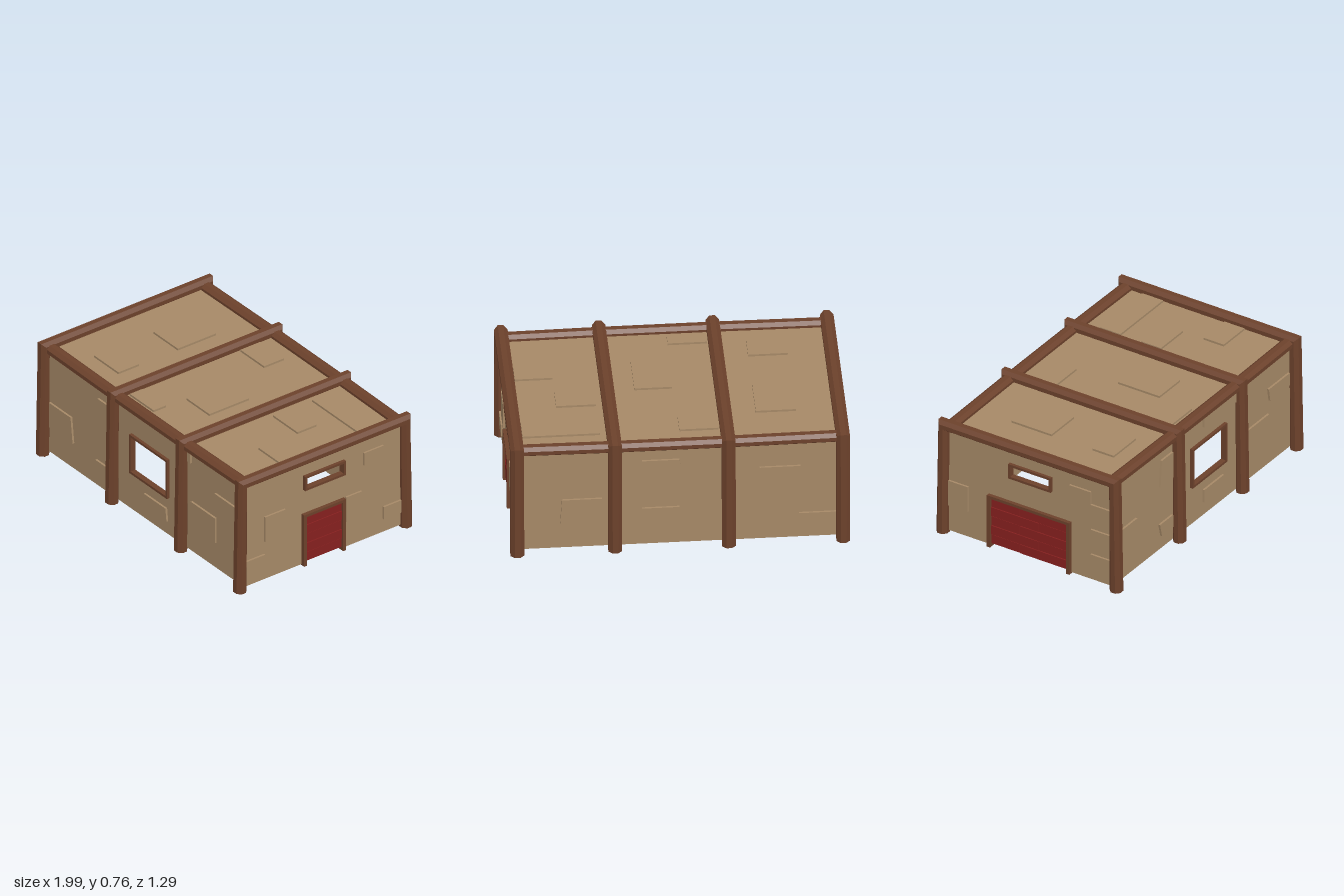
import * as THREE from 'three';

const mat = (name, color, side = THREE.FrontSide) =>
  Object.assign(new THREE.MeshStandardMaterial({ color, side }), { name });

export function createModel() {
  const root = new THREE.Group();
  root.name = 'timberHall';
  const clay = mat('clay', 0xa68967, THREE.DoubleSide);
  const wood = mat('timber', 0x6c412b);
  const red = mat('redDoor', 0x86201f);
  const HX = 0.955, HZ = 0.577, ROOF = 0.715, BASE = 0.015;

  const add = (parent, name, geo, material) => {
    const m = new THREE.Mesh(geo, material);
    m.name = name;
    parent.add(m);
    return m;
  };
  const box = (parent, name, material, x0, x1, y0, y1, z0, z1) =>
    add(parent, name, new THREE.BoxGeometry(x1 - x0, y1 - y0, z1 - z0), material)
      .position.set((x0 + x1) / 2, (y0 + y1) / 2, (z0 + z1) / 2);

  // Octagonal timber: rings of points joined along a path, with closed ends
  const R = 1 / Math.cos(Math.PI / 8);
  const octagon = (fn) => Array.from({ length: 8 }, (_, i) => {
    const a = (i + 0.5) * Math.PI / 4;
    return fn(R * Math.cos(a), R * Math.sin(a));
  });
  const loft = (rings) => {
    const pos = [];
    const tri = (...pts) => pts.forEach((p) => pos.push(...p));
    for (let k = 0; k < rings.length - 1; k++) {
      for (let i = 0; i < 8; i++) {
        const j = (i + 1) % 8, a = rings[k], b = rings[k + 1];
        tri(a[i], b[i], a[j]);
        tri(a[j], b[i], b[j]);
      }
    }
    const s = rings[0], e = rings[rings.length - 1];
    for (let i = 1; i < 7; i++) {
      tri(s[0], s[i], s[i + 1]);
      tri(e[0], e[i + 1], e[i]);
    }
    const g = new THREE.BufferGeometry();
    g.setAttribute('position', new THREE.Float32BufferAttribute(pos, 3));
    g.computeVertexNormals();
    return g;
  };

  // Four portal frames: leaning posts mitred into a cross beam
  const frames = [-0.958, -0.287, 0.38, 0.954];
  for (const x of frames) {
    const foot = (s) => octagon((c, d) => [x + c * 0.04, 0, s * (0.607 + d * 0.037)]);
    const knee = (s) => octagon((c, d) => [x + c * 0.04, 0.733 + d * 0.032, s * (0.598 + d * 0.032)]);
    add(root, 'portalFrame', loft([foot(1), knee(1), knee(-1), foot(-1)]), wood);
  }

  // Eaves beams along both long sides, bowed slightly outward
  for (const s of [1, -1]) {
    const rings = frames.map((x, i) => octagon((c, d) =>
      [x, 0.718 + d * 0.031, s * (i % 3 ? 0.573 : 0.566) + c * 0.039]));
    add(root, 'eavesBeam', loft(rings), wood);
  }

  // Raised stone: [x0, x1, y0, y1, skewLeft, skewRight]
  const stone = (parent, [x0, x1, y0, y1, sl = 0, sr = 0]) => {
    const shape = new THREE.Shape([
      [x0 - sl, y0], [x1 + sr, y0], [x1, y1], [x0, y1],
    ].map((p) => new THREE.Vector2(...p)));
    const g = new THREE.ExtrudeGeometry(shape, { depth: 0.022, bevelEnabled: false });
    add(parent, 'raisedStone', g.translate(0, 0, -0.009), clay);
  };

  // Wall in its own plane, facing local +z
  const wall = (name, half, dist, turn, { window, door, stones }) => {
    const g = new THREE.Group();
    g.name = name;
    const pts = [[-half, BASE]];
    if (door) pts.push([-door, BASE], [-door, 0.35], [door, 0.35], [door, BASE]);
    pts.push([half, BASE], [half, ROOF], [-half, ROOF]);
    const shape = new THREE.Shape(pts.map((p) => new THREE.Vector2(...p)));
    if (window) {
      const [x0, x1, y0, y1] = window, t = 0.015;
      shape.holes.push(new THREE.Path([
        [x0 + t, y0 + t], [x0 + t, y1 - t], [x1 - t, y1 - t], [x1 - t, y0 + t],
      ].map((p) => new THREE.Vector2(...p))));
      // Window surround
      for (const y of [y0, y1 - t]) box(g, 'windowRail', wood, x0, x1, y, y + t, -0.016, 0.02);
      for (const x of [x0, x1 - t]) box(g, 'windowJamb', wood, x, x + t, y0 + t, y1 - t, -0.016, 0.02);
    }
    add(g, 'wallPanel', new THREE.ShapeGeometry(shape), clay);
    stones.forEach((b) => stone(g, b));
    g.rotation.y = turn;
    g.position.set(Math.sin(turn) * dist, 0, Math.cos(turn) * dist);
    root.add(g);
    return g;
  };

  // Plank door in a timber surround
  const door = (parent, half, columns) => {
    const rows = 5, y0 = 0.03, h = 0.313 / rows, gap = 0.002;
    box(parent, 'doorCore', red, -half, half, y0, 0.343, -0.005, 0.005);
    for (let r = 0; r < rows; r++) {
      const split = columns > 1 ? (r % 2 ? 0.25 : -0.25) * half : half;
      const cuts = columns > 1 ? [-half, split, half] : [-half, half];
      for (let c = 0; c < cuts.length - 1; c++) {
        const d = 0.009 + ((r + c) % 2) * 0.003;
        box(parent, 'doorPlank', red, cuts[c] + gap, cuts[c + 1] - gap,
          y0 + r * h + gap, y0 + (r + 1) * h - gap, -d, d);
      }
    }
    for (const s of [-1, 1]) {
      const x = s * (half + 0.008);
      box(parent, 'doorJamb', wood, x - 0.011, x + 0.011, 0.008, 0.345, -0.018, 0.024);
    }
    box(parent, 'doorLintel', wood, -half - 0.019, half + 0.019, 0.342, 0.36, -0.018, 0.024);
  };

  wall('frontWall', HX, HZ, 0, {
    window: [-0.133, 0.233, 0.27, 0.535],
    stones: [
      [-0.45, -0.33, 0.445, 0.62, 0.015], [-0.92, -0.71, 0.19, 0.36, 0, 0.02],
      [-0.47, -0.33, 0.105, 0.19, -0.02], [0, 0.21, 0.105, 0.19, 0, 0.01],
      [0.455, 0.69, 0.19, 0.36], [0.685, 0.91, 0.445, 0.53, -0.015], [0, 0.45, 0.62, 0.69],
    ],
  });
  wall('backWall', HX, HZ, Math.PI, {
    stones: [
      [-0.69, -0.455, 0.19, 0.36, 0.01, -0.02], [-0.22, 0, 0.19, 0.275],
      [-0.22, 0, 0.53, 0.615, -0.015, 0.01], [0.47, 0.71, 0.36, 0.53, -0.03, -0.015],
      [0.7, 0.92, 0.105, 0.19],
    ],
  });
  const right = wall('rightWall', HZ, HX, Math.PI / 2, {
    window: [-0.143, 0.155, 0.522, 0.62], door: 0.145,
    stones: [
      [-0.57, -0.28, 0.615, 0.7], [-0.43, -0.28, 0.275, 0.445], [-0.57, -0.43, 0.105, 0.19],
      [0.295, 0.44, 0.53, 0.615], [0.165, 0.28, 0.19, 0.36, 0, 0.013], [0.44, 0.57, 0.105, 0.19],
    ],
  });
  door(right, 0.135, 1);
  const left = wall('leftWall', HZ, HX, -Math.PI / 2, {
    window: [-0.143, 0.155, 0.522, 0.62], door: 0.28,
    stones: [
      [0.43, 0.57, 0.105, 0.19], [0.43, 0.57, 0.275, 0.36], [0.43, 0.57, 0.445, 0.53],
      [0.28, 0.43, 0.53, 0.615], [-0.57, -0.43, 0.19, 0.36],
    ],
  });
  door(left, 0.27, 2);

  // Flat roof with raised stones, laid down from its own plane (local y = -z)
  const roof = new THREE.Group();
  roof.name = 'roof';
  add(roof, 'roofPanel', new THREE.PlaneGeometry(HX * 2, HZ * 2), clay);
  [
    [-0.705, -0.47, 0.015, 0.295], [-0.705, -0.47, -0.42, -0.27], [0, 0.22, -0.275, 0.015],
    [-0.24, -0.01, 0.3, 0.445], [-0.24, -0.01, -0.51, -0.42], [0.455, 0.91, 0.3, 0.445],
    [0.455, 0.69, 0.015, 0.155], [0.69, 0.91, -0.27, -0.13],
  ].forEach((b) => stone(roof, b));
  roof.rotation.x = -Math.PI / 2;
  roof.position.y = ROOF;
  root.add(roof);

  return root;
}
